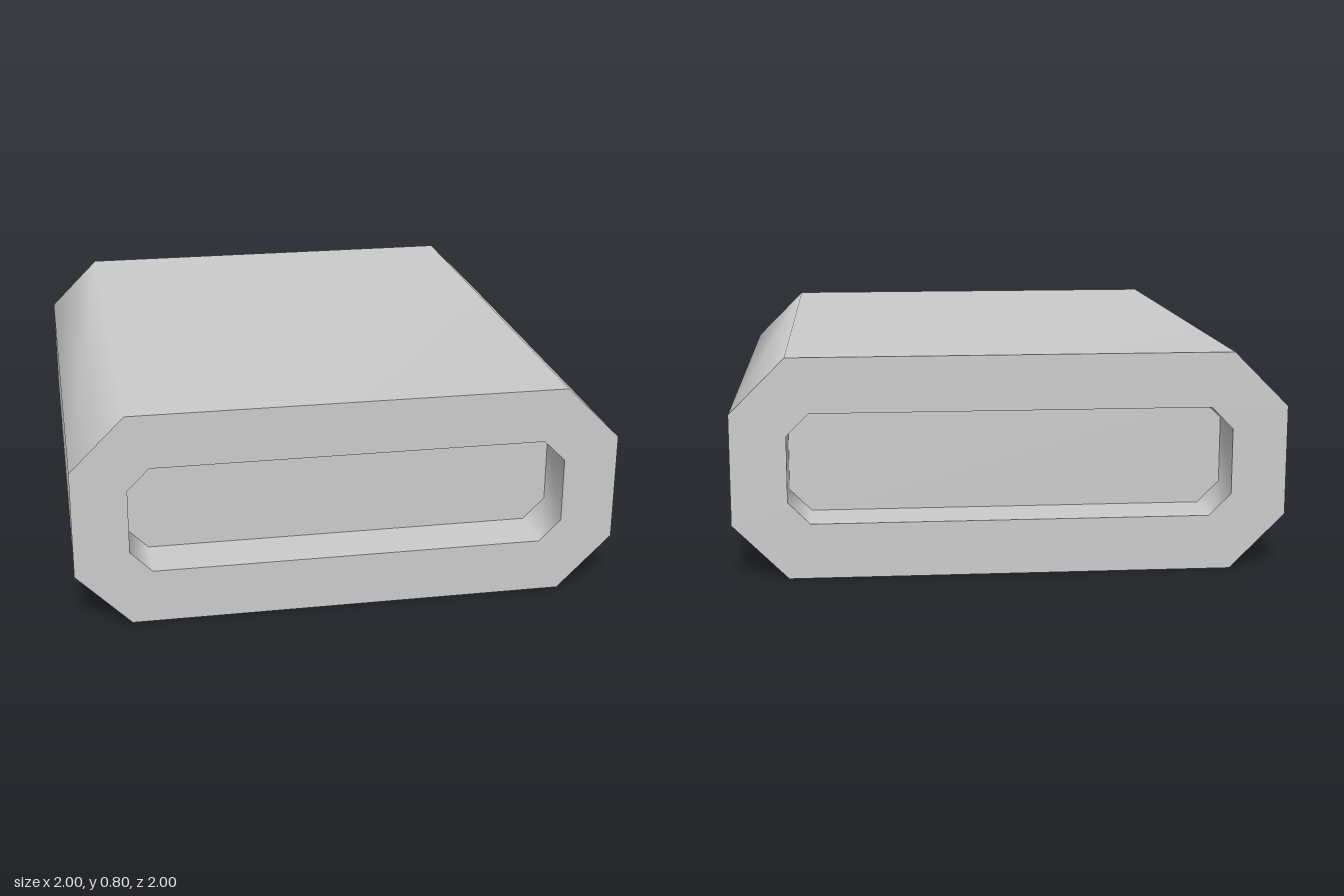
import * as THREE from 'three';

const CENTER_Y = 0.4, HALF_LENGTH = 1, RECESS_DEPTH = 0.2;

// Counter-clockwise rectangle with cut corners
function chamferedRect(halfW, halfH, cut) {
  const a = halfW - cut, b = halfH - cut;
  return [
    [halfW, -b], [halfW, b], [a, halfH], [-a, halfH],
    [-halfW, b], [-halfW, -b], [-a, -halfH], [a, -halfH],
  ].map(([x, y]) => new THREE.Vector2(x, y + CENTER_Y));
}

// Smooth-shaded band that sweeps an outline from z0 to z1 (faces outward when z0 < z1)
function wall(points, z0, z1) {
  const positions = [], index = [], n = points.length;
  points.forEach((p, i) => {
    positions.push(p.x, p.y, z0, p.x, p.y, z1);
    const a = 2 * i, b = 2 * ((i + 1) % n);
    index.push(a, b, b + 1, a, b + 1, a + 1);
  });
  const geometry = new THREE.BufferGeometry();
  geometry.setAttribute('position', new THREE.Float32BufferAttribute(positions, 3));
  geometry.setIndex(index);
  geometry.computeVertexNormals();
  return geometry;
}

export function createModel() {
  const group = new THREE.Group();
  group.name = 'block';
  const material = new THREE.MeshStandardMaterial({ color: 0xcccccc });
  const add = (parent, name, geometry) => {
    const mesh = new THREE.Mesh(geometry, material);
    mesh.name = name;
    parent.add(mesh);
    return mesh;
  };

  const outer = chamferedRect(1, 0.4, 0.2);
  const inner = chamferedRect(0.8, 0.2, 0.08);

  // Body
  add(group, 'outerShell', wall(outer, -HALF_LENGTH, HALF_LENGTH));

  // Rim and recessed pocket, the same at both ends
  const rim = new THREE.Shape(outer);
  rim.holes.push(new THREE.Path(inner));
  const floorZ = HALF_LENGTH - RECESS_DEPTH;
  for (const [name, turn] of [['frontEnd', 0], ['backEnd', Math.PI]]) {
    const end = new THREE.Group();
    end.name = name;
    end.rotation.y = turn;
    add(end, 'rim', new THREE.ShapeGeometry(rim)).position.z = HALF_LENGTH;
    add(end, 'recessWall', wall(inner, HALF_LENGTH, floorZ));
    add(end, 'recessFloor', new THREE.ShapeGeometry(new THREE.Shape(inner))).position.z = floorZ;
    group.add(end);
  }
  return group;
}
